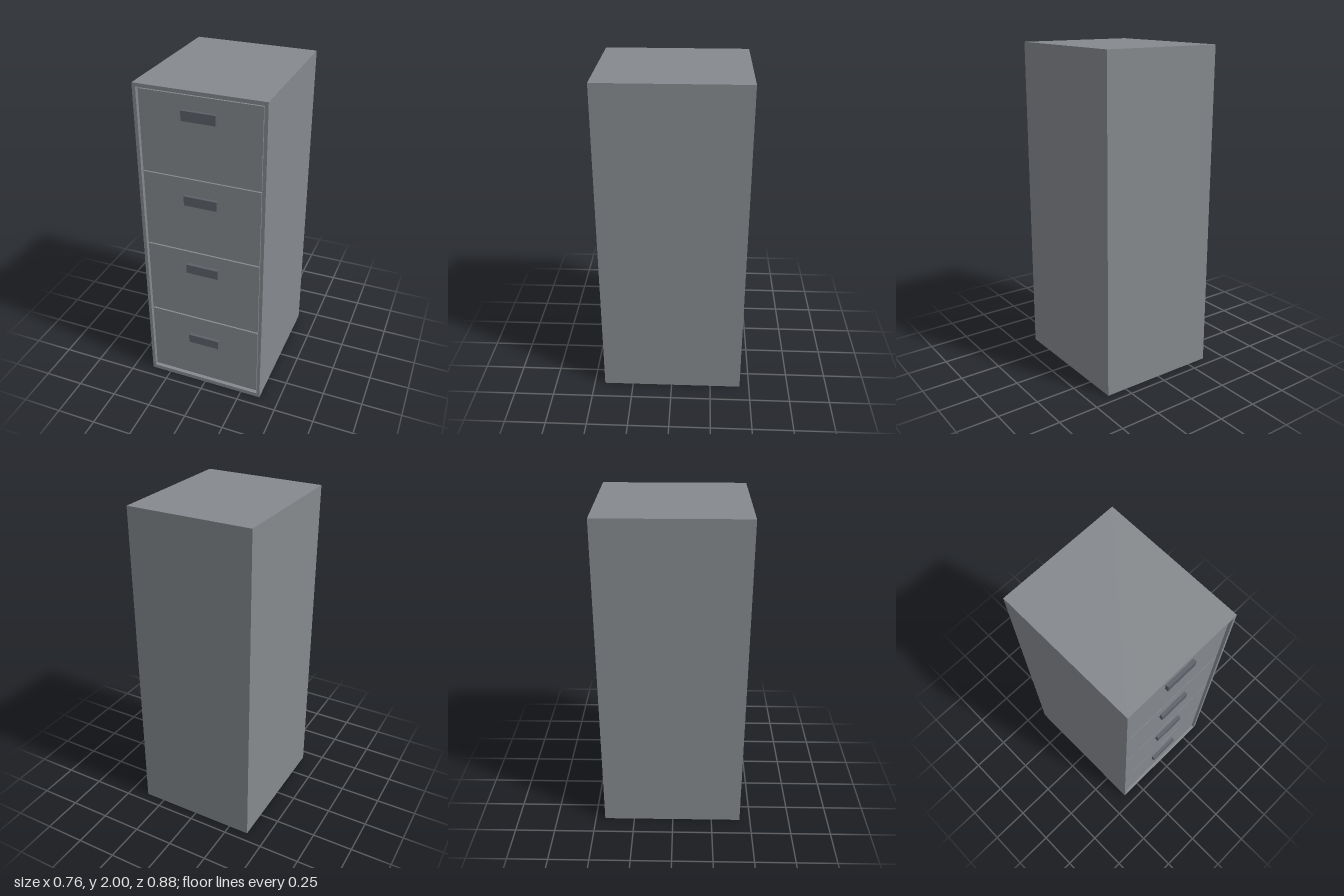
import * as THREE from 'three';
import { mergeGeometries } from 'three/addons/utils/BufferGeometryUtils.js';

const HALF_W = 0.378, HEIGHT = 2, BACK = -0.44, FRONT = 0.433;
const OPEN_W = 0.358, OPEN_LOW = 0.027, OPEN_HIGH = 1.981;
const RECESS = 0.408, DRAWER_FRONT = 0.419, HANDLE_FRONT = 0.44;

// Box between two corners
function boxBetween(x, y0, y1, z0, z1) {
  return new THREE.BoxGeometry(2 * x, y1 - y0, z1 - z0)
    .translate(0, (y0 + y1) / 2, (z0 + z1) / 2);
}

// Box without its +z face
function openBox(...size) {
  const g = boxBetween(...size);
  const idx = Array.from(g.index.array);
  idx.splice(24, 6);
  g.setIndex(idx);
  g.clearGroups();
  return g;
}

// Rectangle outline for the front frame
function rectangle(path, x, y0, y1) {
  path.moveTo(-x, y0).lineTo(x, y0).lineTo(x, y1).lineTo(-x, y1).closePath();
  return path;
}

export function createModel() {
  const group = new THREE.Group();
  const steel = new THREE.MeshStandardMaterial({ color: 0x85898d });
  steel.name = 'greySteel';
  const dark = new THREE.MeshStandardMaterial({ color: 0x5c6067 });
  dark.name = 'darkHandle';

  const add = (name, geometry, material) => {
    const mesh = new THREE.Mesh(geometry, material);
    mesh.name = name;
    group.add(mesh);
  };

  // Cabinet: outer shell, front frame and the shallow inward-facing recess
  const outline = rectangle(new THREE.Shape(), HALF_W, 0, HEIGHT);
  outline.holes.push(rectangle(new THREE.Path(), OPEN_W, OPEN_LOW, OPEN_HIGH));
  const frame = new THREE.ShapeGeometry(outline).translate(0, 0, FRONT);
  const recess = openBox(OPEN_W, OPEN_LOW, OPEN_HIGH, RECESS, FRONT).scale(-1, 1, 1);
  recess.computeVertexNormals();
  const shell = openBox(HALF_W, 0, HEIGHT, BACK, FRONT);
  add('cabinet', mergeGeometries([shell, frame, recess]), steel);

  // Four drawers: bottom, top and handle centre heights
  const drawers = [
    [1.494, 1.968, 1.859],
    [1.009, 1.481, 1.351],
    [0.517, 0.998, 0.888],
    [0.038, 0.507, 0.348],
  ];
  drawers.forEach(([low, high, grip], i) => {
    add(`drawer${i + 1}`, boxBetween(0.35, low, high, RECESS, DRAWER_FRONT), steel);
    add(`handle${i + 1}`, boxBetween(0.099, grip - 0.029, grip + 0.029, DRAWER_FRONT, HANDLE_FRONT), dark);
  });

  return group;
}
